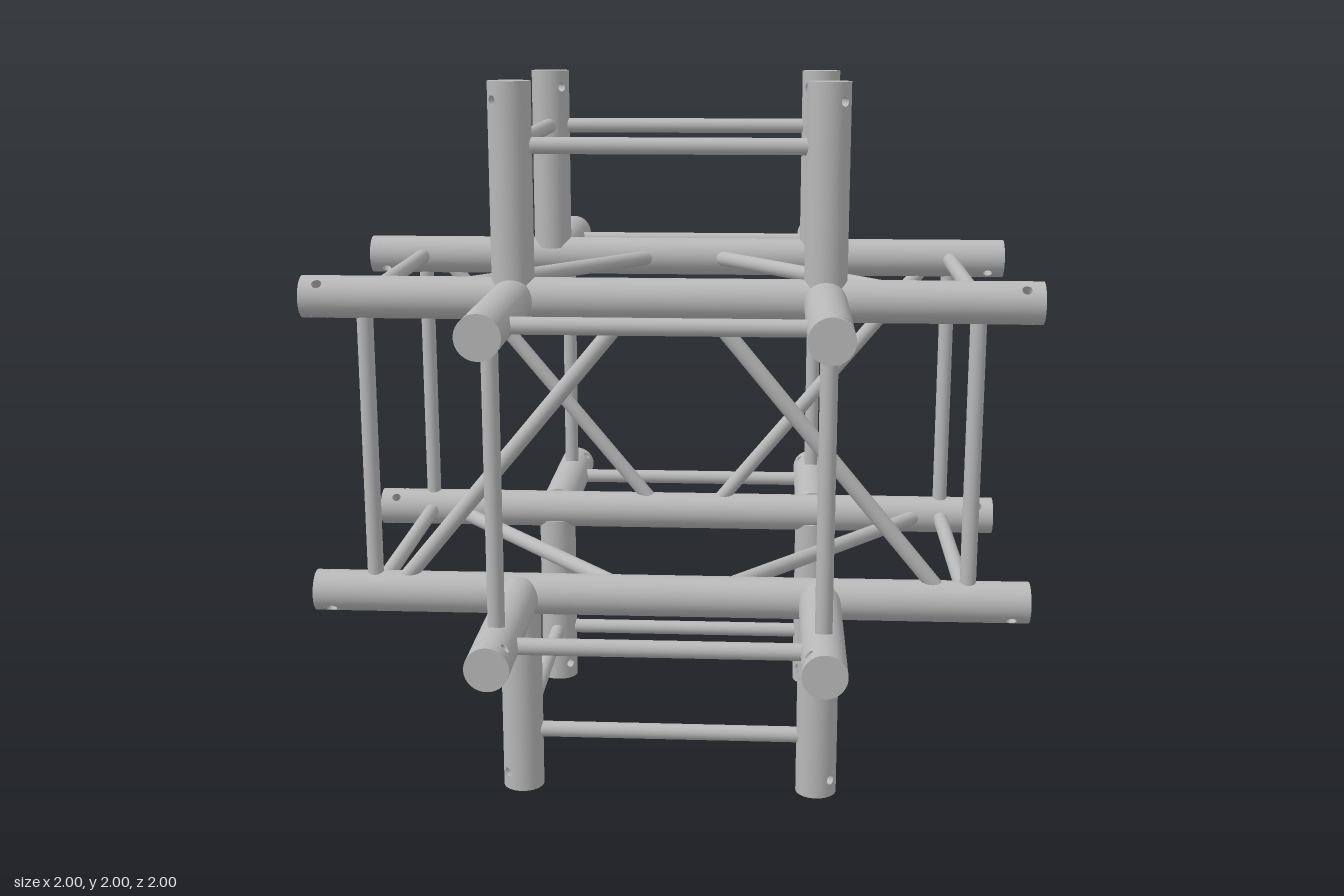
import * as THREE from 'three';
import { mergeGeometries } from 'three/addons/utils/BufferGeometryUtils.js';

const NODE = 0.421;        // chord offset from the centre
const R = 0.058;           // chord radius
const ROD = 0.0225;        // rung and brace radius
const RUNG = 0.831;        // rung frame distance from the centre
const PIN = 0.95;          // pin hole distance from the centre
const HOLE = 0.0135;       // pin hole radius
const PATCH = 0.02;        // half size of the wall patch around a hole
const CENTRE_Y = 1;

// Curved wall patch with a round hole, facing +z
function holePatch() {
  const s = new THREE.Shape();
  const n = 6;
  for (let i = 0; i <= n; i++) {
    const x = -PATCH + (2 * PATCH * i) / n;
    if (i) s.lineTo(x, -PATCH); else s.moveTo(x, -PATCH);
  }
  for (let i = 0; i <= n; i++) s.lineTo(PATCH - (2 * PATCH * i) / n, PATCH);
  s.closePath();
  const hole = new THREE.Path();
  hole.absarc(0, 0, HOLE, 0, Math.PI * 2, true);
  s.holes.push(hole);
  const g = new THREE.ShapeGeometry(s, 10);
  const p = g.attributes.position, nor = g.attributes.normal;
  for (let i = 0; i < p.count; i++) {
    const a = p.getX(i) / R;
    p.setXYZ(i, R * Math.sin(a), p.getY(i), R * Math.cos(a));
    nor.setXYZ(i, Math.sin(a), 0, Math.cos(a));
  }
  return g;
}

// Short chord section pierced along z, centred at height y
function collar(y) {
  const half = PATCH / R;
  const parts = [holePatch(), holePatch().rotateY(Math.PI)];
  for (const start of [half, Math.PI + half])
    parts.push(new THREE.CylinderGeometry(R, R, 2 * PATCH, 12, 1, true, start, Math.PI - 2 * half));
  parts.push(new THREE.CylinderGeometry(HOLE, HOLE, 2 * R - 0.003, 20, 1, true).rotateX(Math.PI / 2));
  return parts.map(g => g.translate(0, y, 0));
}

// Chord along y from y0 to y1, with pin holes at the listed heights
function chordGeometry(y0, y1, pins) {
  const parts = [];
  let from = y0;
  const wall = to => {
    parts.push(new THREE.CylinderGeometry(R, R, to - from, 36, 1, true).translate(0, (from + to) / 2, 0));
  };
  for (const pin of pins) {
    wall(pin - PATCH);
    parts.push(...collar(pin));
    from = pin + PATCH;
  }
  wall(y1);
  parts.push(new THREE.CircleGeometry(R, 36).rotateX(-Math.PI / 2).translate(0, y1, 0));
  parts.push(new THREE.CircleGeometry(R, 36).rotateX(Math.PI / 2).translate(0, y0, 0));
  return mergeGeometries(parts);
}

export function createModel() {
  const model = new THREE.Group();
  model.name = 'sixWayTrussJunction';
  const frame = new THREE.Group();
  frame.name = 'trussFrame';
  frame.position.y = CENTRE_Y;
  model.add(frame);

  const metal = new THREE.MeshStandardMaterial({ color: 0xb8b8b8, side: THREE.DoubleSide });
  metal.name = 'aluminium grey';

  const signs = [-1, 1];
  const through = chordGeometry(-1, 1, [-PIN, PIN]);
  const stub = chordGeometry(0.45, 1, [PIN]);

  // Chord placed along an axis, its pin hole pointing diagonally outward
  function addChord(name, geometry, axis, corner) {
    const m = new THREE.Mesh(geometry, metal);
    m.name = name;
    const bore = corner.clone().normalize();
    const side = new THREE.Vector3().crossVectors(axis, bore);
    m.quaternion.setFromRotationMatrix(new THREE.Matrix4().makeBasis(side, axis, bore));
    m.position.copy(corner).multiplyScalar(NODE);
    frame.add(m);
  }

  // Round rod between two points
  function addRod(name, a, b) {
    const d = new THREE.Vector3().subVectors(b, a);
    const m = new THREE.Mesh(new THREE.CylinderGeometry(ROD, ROD, d.length(), 20), metal);
    m.name = name;
    m.position.copy(a).add(b).multiplyScalar(0.5);
    m.quaternion.setFromUnitVectors(new THREE.Vector3(0, 1, 0), d.normalize());
    frame.add(m);
  }

  const V = (x, y, z) => new THREE.Vector3(x, y, z);

  // Four long chords across, four stubs up, down, front and back
  for (const p of signs) for (const q of signs) {
    addChord('longChord', through, V(1, 0, 0), V(0, p, q));
    for (const s of signs) {
      addChord('verticalStub', stub, V(0, s, 0), V(p, 0, q));
      addChord('depthStub', stub, V(0, 0, s), V(p, q, 0));
    }
  }

  // Square frame of four rungs near the end of each of the six arms
  for (let axis = 0; axis < 3; axis++) {
    const u = (axis + 1) % 3, v = (axis + 2) % 3;
    for (const s of signs) for (const t of signs) for (const [along, across] of [[u, v], [v, u]]) {
      const ends = signs.map(e => V(0, 0, 0)
        .setComponent(axis, s * RUNG)
        .setComponent(across, t * NODE)
        .setComponent(along, e * (NODE - 0.03)));
      addRod('rung', ends[0], ends[1]);
    }
  }

  // Diagonal braces, two on each long face, meeting alternately at either edge
  const near = 0.43 - 0.32, far = 0.43 + 0.32, reach = 0.388;
  for (const s of signs) for (const f of signs) {
    addRod('faceBrace', V(s * near, f * reach, f * NODE), V(s * far, -f * reach, f * NODE));
    addRod('deckBrace', V(s * near, f * NODE, -f * reach), V(s * far, f * NODE, f * reach));
  }

  return model;
}
